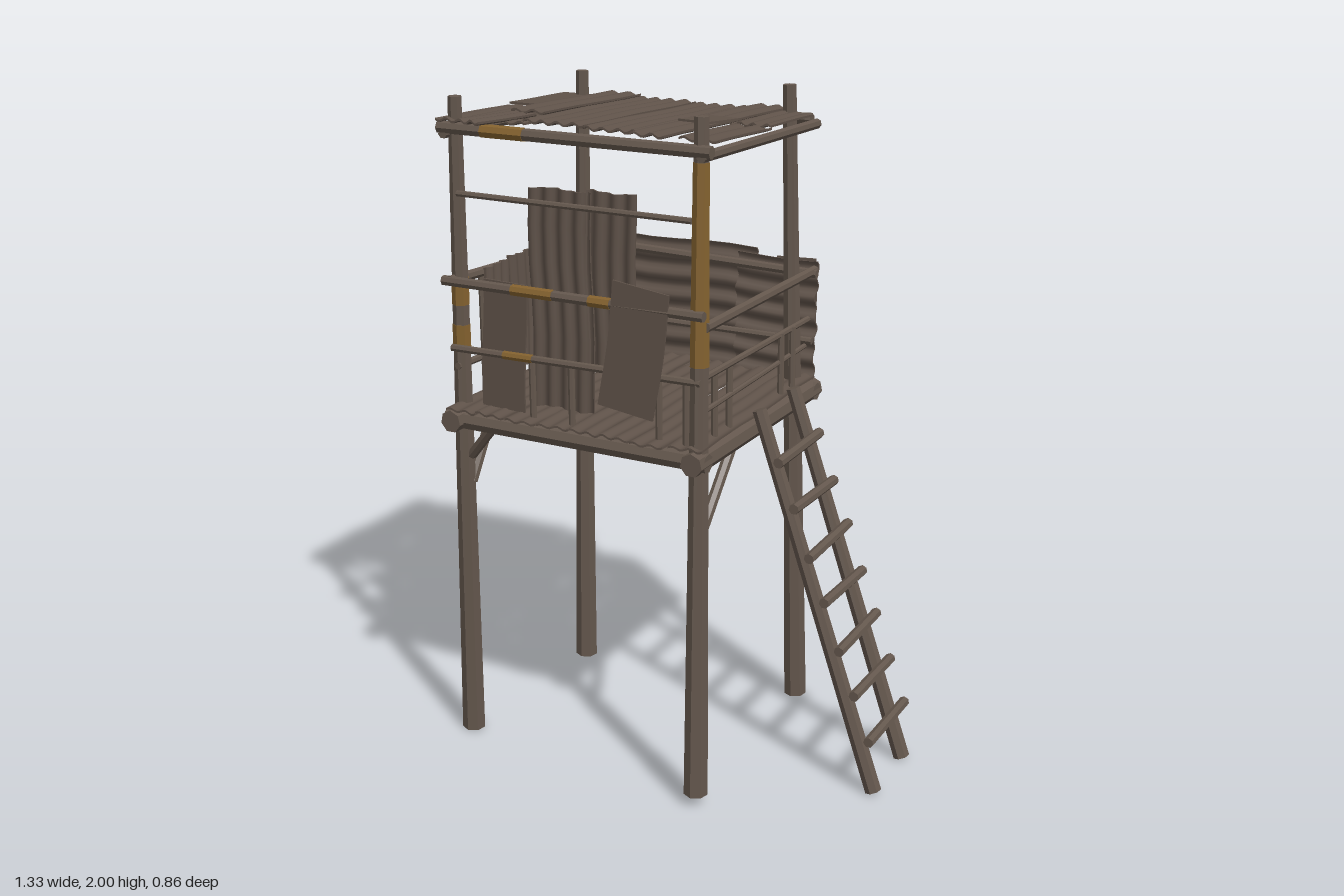
import * as THREE from 'three';

const mat = (name, color) => {
  const m = new THREE.MeshStandardMaterial({ color });
  m.name = name;
  return m;
};
const V = (x, y, z) => new THREE.Vector3(x, y, z);

export function createModel() {
  const root = new THREE.Group();
  root.name = 'watchtower';
  const wood = mat('weathered wood', 0x64574d);
  const sheetMat = mat('weathered sheet', 0x5f5249);
  const ochre = mat('bare ochre wood', 0x84622f);

  const group = (name) => {
    const g = new THREE.Group();
    g.name = name;
    root.add(g);
    return g;
  };
  const flat = (geo) => {
    const g = geo.toNonIndexed();
    g.computeVertexNormals();
    return g;
  };

  // Tapered faceted log from a to b
  function log(parent, name, a, b, r0, r1 = r0, m = wood, sides = 7) {
    const d = b.clone().sub(a);
    const mesh = new THREE.Mesh(flat(new THREE.CylinderGeometry(r1, r0, d.length(), sides)), m);
    mesh.position.copy(a).lerp(b, 0.5);
    mesh.quaternion.setFromUnitVectors(V(0, 1, 0), d.normalize());
    mesh.name = name;
    parent.add(mesh);
  }
  // Thin bare-wood sleeve on part of a log, between fractions t0 and t1
  function bare(parent, a, b, r0, r1, t0, t1) {
    const r = (t) => r0 + (r1 - r0) * t + 0.0015;
    log(parent, 'bareWood', a.clone().lerp(b, t0), a.clone().lerp(b, t1), r(t0), r(t1), ochre);
  }
  // Corrugated sheet: ribs run along local y, edges wander a little
  let seed = 0;
  function sheet(parent, name, w, h, waves, pos, rot, amp = 0.006) {
    seed += 1.7;
    const geo = new THREE.BoxGeometry(w, h, 0.006, Math.max(1, waves * 6), 6, 1);
    const p = geo.attributes.position;
    for (let i = 0; i < p.count; i++) {
      const x = p.getX(i), y = p.getY(i);
      p.setZ(i, p.getZ(i) + (waves ? amp * Math.sin((x / w) * waves * Math.PI * 2) : 0));
      p.setX(i, x + 0.004 * Math.sin(y * 14 + seed));
      p.setY(i, y + 0.003 * Math.sin(x * 40 + seed));
    }
    geo.computeVertexNormals();
    const mesh = new THREE.Mesh(geo, sheetMat);
    mesh.position.set(...pos);
    mesh.rotation.set(...rot);
    mesh.name = name;
    parent.add(mesh);
  }

  // Corner posts running from the ground to above the roof
  const posts = group('cornerPosts');
  const corners = [
    [V(-0.64, 0.01, 0.305), V(-0.583, 2, 0.335)],
    [V(0.195, 0.04, 0.38), V(0.19, 2, 0.338)],
    [V(-0.59, 0.01, -0.3), V(-0.555, 2, -0.295)],
    [V(0.175, 0.02, -0.358), V(0.138, 2, -0.31)],
  ];
  for (const [a, b] of corners) log(posts, 'post', a, b, 0.036, 0.02);
  bare(posts, ...corners[1], 0.036, 0.02, 0.66, 0.94);
  bare(posts, ...corners[0], 0.036, 0.02, 0.63, 0.67);
  bare(posts, ...corners[0], 0.036, 0.02, 0.7, 0.74);

  // Platform frame, with joists and corner braces
  const base = group('platformFrame');
  for (const z of [0.365, -0.36]) log(base, 'crossBeam', V(-0.635, 1.065, z), V(0.225, 1.065, z), 0.028);
  for (const x of [-0.597, 0.195]) log(base, 'sideBeam', V(x, 1.068, 0.41), V(x, 1.065, -0.395), 0.034);
  log(base, 'joist', V(-0.6, 1.075, 0.0), V(0.2, 1.075, 0.0), 0.018);
  log(base, 'brace', V(0.195, 0.85, 0.345), V(0.195, 1.05, 0.16), 0.016);
  log(base, 'brace', V(-0.6, 0.85, 0.31), V(-0.59, 1.05, 0.2), 0.016);
  log(base, 'brace', V(-0.59, 0.94, 0.32), V(-0.49, 1.05, 0.35), 0.016);
  log(base, 'brace', V(-0.58, 0.94, -0.3), V(-0.49, 1.05, -0.34), 0.016);

  // Deck strips running front to back
  const deck = group('deck');
  const n = 8;
  for (let i = 0; i < n; i++) {
    const w = 0.83 / n;
    sheet(deck, 'deckStrip', w * 0.99, 0.78 + 0.02 * Math.sin(i * 2.3), 2,
      [-0.615 + w * (i + 0.5), 1.104 + 0.003 * (i % 2), 0.018 + 0.01 * Math.sin(i * 4.1)],
      [-Math.PI / 2, 0, 0.012 * Math.sin(i * 3)], 0.004);
  }

  // Roof frame
  const roof = group('roof');
  const rf = [V(-0.625, 1.915, 0.358), V(0.23, 1.912, 0.358)];
  log(roof, 'roofBeam', ...rf, 0.018);
  bare(roof, ...rf, 0.018, 0.018, 0.17, 0.33);
  log(roof, 'roofBeam', V(-0.61, 1.9, -0.325), V(0.2, 1.9, -0.335), 0.018);
  for (const x of [-0.605, 0.205]) log(roof, 'roofSideBeam', V(x, 1.9, 0.37), V(x, 1.885, -0.36), 0.015);

  // Roof sheets: x0, x1, z0, z1, ribs, lift, turn
  const roofStrips = [
    [-0.63, -0.485, -0.315, 0.0, 0, 0.01, 0],
    [-0.637, -0.49, -0.015, 0.37, 3, 0, 0.02],
    [-0.49, -0.38, -0.35, 0.2, 2, 0.018, 0],
    [-0.505, -0.43, 0.17, 0.43, 2, 0.008, -0.08],
    [-0.43, -0.37, 0.1, 0.32, 1, 0, 0],
    [-0.38, -0.185, -0.345, 0.315, 4, 0.008, 0.01],
    [-0.187, 0.005, -0.36, 0.31, 4, 0.002, -0.01],
    [0.01, 0.115, -0.355, 0.405, 2, 0.012, 0],
    [0.105, 0.23, -0.28, 0.02, 3, 0.006, 0],
    [0.115, 0.232, 0.015, 0.325, 2, 0, 0],
    [0.05, 0.155, 0.07, 0.195, 0, 0.028, -0.2],
  ];
  for (const [x0, x1, z0, z1, ribs, lift, turn] of roofStrips) {
    const zc = (z0 + z1) / 2;
    sheet(roof, 'roofSheet', x1 - x0, z1 - z0, ribs,
      [(x0 + x1) / 2, 1.925 + lift + zc * 0.035, zc], [-Math.PI / 2 - 0.035, 0, turn], 0.005);
  }

  // Front railing, balusters and leaning sheets
  const front = group('frontWall');
  const top = [V(-0.63, 1.478, 0.365), V(0.215, 1.478, 0.372)];
  const mid = [V(-0.61, 1.28, 0.365), V(0.205, 1.292, 0.37)];
  log(front, 'rail', ...top, 0.015);
  log(front, 'rail', ...mid, 0.011);
  log(front, 'thinRail', V(-0.575, 1.732, 0.355), V(0.17, 1.728, 0.355), 0.009);
  for (const [t0, t1] of [[0.28, 0.44], [0.58, 0.66]]) bare(front, ...top, 0.015, 0.015, t0, t1);
  bare(front, ...mid, 0.011, 0.011, 0.22, 0.34);
  for (const x of [-0.34, -0.21, 0.07, 0.155]) log(front, 'baluster', V(x, 1.1, 0.36), V(x, 1.285, 0.36), 0.01);
  sheet(front, 'tallSheet', 0.2, 0.63, 4, [-0.25, 1.455, 0.335], [0, 0, 0.005]);
  sheet(front, 'tallSheet', 0.155, 0.51, 3, [-0.09, 1.52, 0.332], [0, 0, 0]);
  sheet(front, 'lowSheet', 0.145, 0.38, 0, [-0.445, 1.3, 0.34], [0, 0, -0.04]);
  sheet(front, 'leaningSheet', 0.175, 0.36, 0, [0.008, 1.362, 0.385], [-0.03, 0, -0.13]);

  // Open railing on the ladder side
  const left = group('ladderSideRailing');
  log(left, 'rail', V(0.21, 1.445, 0.355), V(0.19, 1.435, -0.4), 0.015);
  log(left, 'rail', V(0.2, 1.3, 0.345), V(0.18, 1.285, -0.38), 0.01);
  log(left, 'rail', V(0.2, 1.205, 0.33), V(0.18, 1.205, -0.36), 0.008);
  for (const z of [0.26, 0.17, -0.17, -0.25]) log(left, 'baluster', V(0.19, 1.1, z), V(0.19, 1.295, z), 0.01);

  // Opposite side: rails with upright sheets inside
  const right = group('sheetedSideWall');
  log(right, 'rail', V(-0.605, 1.48, 0.37), V(-0.59, 1.45, -0.4), 0.015);
  log(right, 'rail', V(-0.605, 1.22, 0.35), V(-0.59, 1.21, -0.38), 0.011);
  for (const z of [0.22, 0.02, -0.2]) log(right, 'baluster', V(-0.6, 1.1, z), V(-0.6, 1.46, z), 0.01);
  const sideSheets = [[0.19, 0.12, 1.32, 0.35], [0.06, 0.13, 1.33, 0.35], [-0.085, 0.15, 1.325, 0.37], [-0.255, 0.16, 1.3, 0.32]];
  sideSheets.forEach(([z, w, y, h], i) =>
    sheet(right, 'sideSheet', w, h, 3, [-0.57 + 0.004 * (i % 2), y, z], [0, -Math.PI / 2, 0.02 * Math.sin(i * 3 + 1)]));

  // Back wall: corrugated sheets with horizontal ribs, leaning outward
  const back = group('backWall');
  sheet(back, 'backSheet', 0.4, 0.56, 6, [-0.295, 1.28, -0.408], [-0.06, 0, Math.PI / 2], 0.009);
  sheet(back, 'backSheet', 0.385, 0.27, 6, [0.065, 1.27, -0.395], [-0.05, 0, Math.PI / 2], 0.009);
  sheet(back, 'backPatch', 0.13, 0.37, 0, [0.125, 1.28, -0.412], [-0.05, 0, 0.02]);
  log(back, 'rail', V(-0.6, 1.45, -0.375), V(0.21, 1.43, -0.375), 0.014);
  log(back, 'rail', V(-0.59, 1.22, -0.365), V(0.2, 1.22, -0.37), 0.011);

  // Ladder
  const ladder = group('ladder');
  for (const z of [0.083, -0.145]) log(ladder, 'ladderRail', V(0.632, 0.012, z), V(0.243, 1.14, z), 0.025, 0.021);
  for (let i = 0; i < 7; i++) {
    const y = 0.18 + i * 0.1365;
    const x = 0.62 - (y - 0.18) * 0.372, s = 0.004 * Math.sin(i * 2.7);
    log(ladder, 'rung', V(x, y + s, 0.107), V(x, y - s, -0.182), 0.016, 0.016);
  }
  return root;
}
